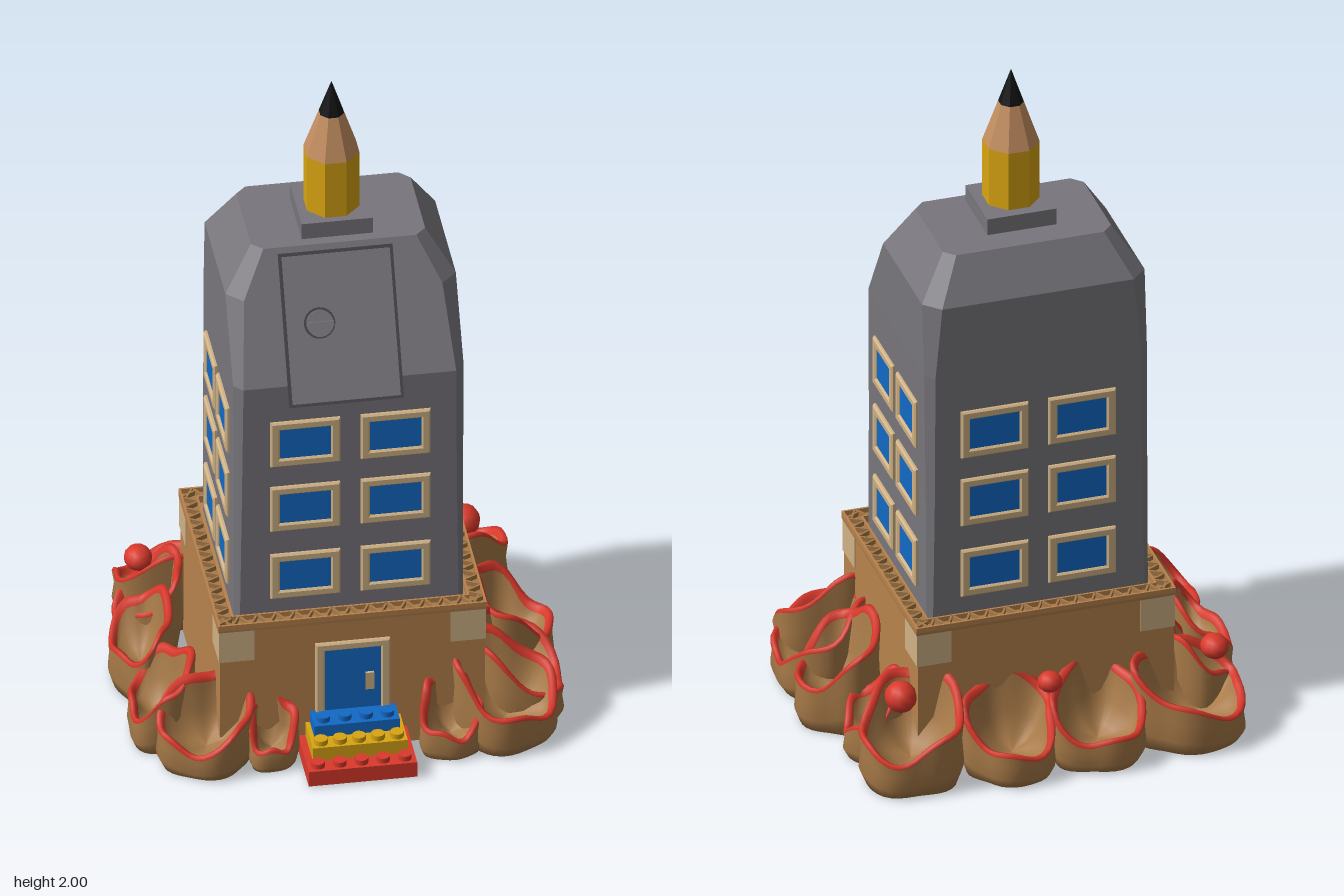
import * as THREE from 'three';

const mat = (name, color, side = THREE.FrontSide) => {
  const m = new THREE.MeshStandardMaterial({ color, side });
  m.name = name;
  return m;
};

export function createModel() {
  const root = new THREE.Group();
  const card = mat('cardboard', 0xb9834d);
  const rock = mat('crumpled brown', 0xa87a48);
  const grey = mat('tower grey', 0x78767c);
  const seam = mat('dark seam', 0x47464b);
  const blue = mat('blue', 0x1269c6);
  const yellow = mat('yellow', 0xd8a412);
  const red = mat('red', 0xd9392b);
  const wood = mat('bare wood', 0xc38e60);
  const black = mat('graphite', 0x131315);
  const pale = mat('pale tan', 0xd0b386);

  const add = (name, geo, material, parent = root, x = 0, y = 0, z = 0) => {
    const m = new THREE.Mesh(geo, material);
    m.name = name;
    m.position.set(x, y, z);
    parent.add(m);
    return m;
  };
  // box given by its min and max corners
  const slab = (name, x0, x1, y0, y1, z0, z1, material, parent = root) =>
    add(name, new THREE.BoxGeometry(x1 - x0, y1 - y0, z1 - z0), material, parent,
      (x0 + x1) / 2, (y0 + y1) / 2, (z0 + z1) / 2);
  const group = (name, parent = root) => {
    const g = new THREE.Group();
    g.name = name;
    parent.add(g);
    return g;
  };
  // skin over a stack of closed rings; slots gives the material of each band
  const loft = (rings, slots) => {
    const n = rings[0].length, index = [];
    const geo = new THREE.BufferGeometry();
    geo.setAttribute('position', new THREE.Float32BufferAttribute(rings.flat(2), 3));
    for (let i = 0; i < rings.length - 1; i++) {
      if (slots) geo.addGroup(index.length, n * 6, slots[i]);
      for (let j = 0; j < n; j++) {
        const a = i * n + j, b = i * n + (j + 1) % n;
        index.push(a, a + n, b, b, a + n, b + n);
      }
    }
    geo.setIndex(index);
    geo.computeVertexNormals();
    return geo;
  };
  const flat = (geo) => {
    const g = geo.index ? geo.toNonIndexed() : geo;
    g.computeVertexNormals();
    return g;
  };

  // Cardboard base with taped corners
  const X0 = -0.38, X1 = 0.365, Z0 = -0.325, Z1 = 0.352;
  slab('base', X0, X1, 0.005, 0.43, Z0, Z1, card);
  for (const x of [X0 + 0.047, X1 - 0.047])
    for (const z of [Z0 + 0.052, Z1 - 0.052])
      add('cornerTape', new THREE.BoxGeometry(0.1, 0.1, 0.11), pale, root, x, 0.378, z);

  // Corrugated trim: two rails per side with a zigzag between them
  const trim = group('corrugatedTrim');
  const cx = (X0 + X1) / 2, cz = (Z0 + Z1) / 2, W = X1 - X0 + 0.01, D = Z1 - Z0 + 0.01;
  for (let s = 0; s < 4; s++) {
    const len = s % 2 ? D : W, off = (s % 2 ? W : D) / 2, side = group('trimSide', trim);
    side.position.set(cx, 0.441, cz);
    side.rotation.y = s * Math.PI / 2;
    add('trimBed', new THREE.BoxGeometry(len, 0.008, 0.046), rock, side, 0, -0.008, off - 0.023);
    add('outerRail', new THREE.BoxGeometry(len, 0.022, 0.006), card, side, 0, 0, off - 0.003);
    add('innerRail', new THREE.BoxGeometry(len - 0.09, 0.022, 0.006), card, side, 0, 0, off - 0.045);
    const count = Math.round(len / 0.026);
    for (let i = 1; i < count; i++) {
      const slat = add('trimSlat', new THREE.BoxGeometry(0.006, 0.02, 0.042), rock, side,
        (i / count - 0.5) * len, 0, off - 0.024);
      slat.rotation.y = i % 2 ? 0.5 : -0.5;
    }
  }

  // Tower: chamfered sections, sloping in at the front and shoulders
  const section = (y, x0, x1, z0, z1, c) => [
    [x1, y, z1 - c], [x1 - c, y, z1], [x0 + c, y, z1], [x0, y, z1 - c],
    [x0, y, z0 + c], [x0 + c, y, z0], [x1 - c, y, z0], [x1, y, z0 + c]];
  add('tower', flat(loft([
    section(0.432, -0.33, 0.315, -0.26, 0.3, 0.015),
    section(0.8, -0.33, 0.315, -0.26, 0.3, 0.02),
    section(1.2, -0.33, 0.318, -0.26, 0.3, 0.025),
    section(1.42, -0.33, 0.318, -0.26, 0.185, 0.045),
    section(1.545, -0.25, 0.24, -0.19, 0.12, 0.03),
    Array(8).fill([-0.005, 1.545, -0.03])])), grey);

  // Sloping hatch with round knob
  const hatch = group('hatch');
  hatch.position.set(-0.02, 1.338, 0.229);
  hatch.rotation.x = -Math.atan2(0.18, 0.345);
  add('hatchSeam', new THREE.BoxGeometry(0.322, 0.432, 0.012), seam, hatch);
  add('hatchPanel', new THREE.BoxGeometry(0.304, 0.414, 0.02), grey, hatch);
  const disc = (name, r, h, m, z) => {
    add(name, new THREE.CylinderGeometry(r, r, h, 20), m, hatch, -0.06, 0.015, z).rotation.x = Math.PI / 2;
  };
  disc('knobSeam', 0.044, 0.006, seam, 0.011);
  disc('knob', 0.038, 0.02, grey, 0.015);
  add('knobGrip', new THREE.BoxGeometry(0.072, 0.013, 0.022), grey, hatch, -0.06, 0.015, 0.034);

  // Framed openings, built facing +z
  const rect = (P, w, h) => {
    const p = new P();
    p.moveTo(-w / 2, -h / 2); p.lineTo(w / 2, -h / 2);
    p.lineTo(w / 2, h / 2); p.lineTo(-w / 2, h / 2);
    p.closePath();
    return p;
  };
  const frameGeo = (w, h, t) => {
    const s = rect(THREE.Shape, w - 0.01, h - 0.01);
    s.holes.push(rect(THREE.Path, w - 2 * t, h - 2 * t));
    return new THREE.ExtrudeGeometry(s, { depth: 0.006, bevelThickness: 0.005, bevelSize: 0.005, bevelSegments: 1 });
  };
  const winFrame = frameGeo(0.196, 0.148, 0.021), winPane = new THREE.BoxGeometry(0.165, 0.115, 0.006);
  const sideFrame = frameGeo(0.178, 0.148, 0.02), sidePane = new THREE.BoxGeometry(0.148, 0.115, 0.006);
  const walls = [
    ['front', 0, 0, 0.3, [-0.132, 0.122], winFrame, winPane],
    ['back', Math.PI, 0, -0.26, [0.132, -0.122], winFrame, winPane],
    ['left', Math.PI / 2, 0.316, 0, [-0.125, 0.085], sideFrame, sidePane],
    ['right', -Math.PI / 2, -0.33, 0, [0.125, -0.085], sideFrame, sidePane]];
  for (const [name, turn, x, z, cols, frame, pane] of walls) {
    const g = group(name + 'Windows');
    g.position.set(x, 0, z);
    g.rotation.y = turn;
    for (const col of cols)
      for (const y of [0.567, 0.793, 1.01]) {
        add('windowFrame', frame, pale, g, col, y, 0);
        add('windowPane', pane, blue, g, col, y, 0.001);
      }
  }

  // Door
  add('doorFrame', frameGeo(0.21, 0.27, 0.021), pale, root, -0.007, 0.228, Z1);
  add('door', new THREE.BoxGeometry(0.175, 0.235, 0.006), blue, root, -0.007, 0.228, Z1 + 0.001);
  slab('doorHandle', 0.028, 0.052, 0.2, 0.255, Z1, Z1 + 0.012, pale);

  // Studded steps
  const stud = new THREE.CylinderGeometry(0.019, 0.019, 0.016, 14);
  const steps = [
    [red, -0.16, 0.145, 0.01, 0.058, 0.535, 0.508, 5],
    [yellow, -0.14, 0.127, 0.058, 0.1, 0.483, 0.458, 5],
    [blue, -0.127, 0.113, 0.1, 0.137, 0.43, 0.4, 4]];
  for (const [m, x0, x1, y0, y1, z1, zs, n] of steps) {
    slab('step', x0, x1, y0, y1, Z1 - 0.01, z1, m);
    for (let i = 0; i < n; i++)
      add('stepStud', stud, m, root, x0 + (x1 - x0) * (i + 0.5) / n, y1 + 0.008, zs);
  }

  // Pencil on its plinth
  slab('plinth', -0.107, 0.094, 1.54, 1.595, -0.11, 0.09, grey);
  const pencil = group('pencil');
  pencil.position.set(-0.008, 0, -0.005);
  const turned = (name, r0, r1, y0, y1, m) =>
    add(name, flat(new THREE.CylinderGeometry(r1, r0, y1 - y0, 8)), m, pencil, 0, (y0 + y1) / 2, 0)
      .rotation.y = Math.PI / 8;
  turned('pencilBody', 0.08, 0.08, 1.595, 1.775, yellow);
  turned('pencilWood', 0.08, 0.036, 1.775, 1.9, wood);
  turned('pencilLead', 0.036, 0.001, 1.9, 2, black);

  // Crumpled scoops around the base: red rims, high by the wall and low outside
  const scoop = (x, z, rx, rz, lo, hi, out, seed) => {
    const N = 36;
    const ring = (scale, inset, height) => Array.from({ length: N }, (_, j) => {
      const t = j / N * Math.PI * 2;
      const w = 1 + 0.06 * Math.sin(3 * t + seed) + 0.035 * Math.sin(5 * t + 2 * seed);
      const h = lo + (hi - lo) * (0.5 - 0.5 * Math.cos(t - out)) + 0.015 * Math.sin(4 * t + seed);
      return [x + Math.cos(t) * (rx * w * scale - inset), height(h), z + Math.sin(t) * (rz * w * scale - inset)];
    });
    const floor = 0.03 + lo * 0.3;
    const rings = [
      ring(0, 0, () => 0.006), ring(0.86, 0, () => 0.006), ring(0.98, 0, (h) => h * 0.3),
      ring(0.94, 0, (h) => h * 0.65), ring(1, 0.003, (h) => h - 0.012),
      ring(1, 0.008, (h) => h), ring(1, 0.02, (h) => h - 0.004), ring(1, 0.027, (h) => h - 0.022),
      ring(0.66, 0, (h) => floor + (h - floor) * 0.4), ring(0.35, 0, (h) => floor + (h - floor) * 0.1),
      ring(0, 0, () => floor)];
    add('crumpledScoop', loft(rings, [0, 0, 0, 0, 1, 1, 1, 0, 0, 0]), [rock, red]);
  };
  const R = Math.PI;
  [
    [-0.41, -0.385, 0.165, 0.125, 0.12, 0.27, -R * 0.7, 1],
    [-0.13, -0.41, 0.14, 0.12, 0.1, 0.27, -R / 2, 2.2],
    [0.12, -0.41, 0.135, 0.12, 0.1, 0.27, -R / 2, 0.6],
    [0.4, -0.37, 0.15, 0.14, 0.13, 0.29, -R * 0.3, 3],
    [0.45, -0.2, 0.095, 0.1, 0.1, 0.24, 0, 4],
    [0.49, 0.02, 0.12, 0.14, 0.14, 0.32, 0, 1.7],
    [0.48, 0.22, 0.135, 0.15, 0.1, 0.28, R * 0.1, 5],
    [0.42, 0.36, 0.15, 0.12, 0.11, 0.3, R * 0.3, 2.6],
    [0.26, 0.4, 0.09, 0.08, 0.08, 0.24, R / 2, 0.2],
    [-0.24, 0.385, 0.075, 0.07, 0.07, 0.23, R / 2, 1.3],
    [-0.42, 0.36, 0.14, 0.105, 0.1, 0.26, R * 0.65, 3.6],
    [-0.525, 0.2, 0.095, 0.13, 0.11, 0.27, R, 0.9],
    [-0.535, -0.06, 0.09, 0.15, 0.13, 0.27, R, 2.9],
    [-0.48, -0.25, 0.1, 0.12, 0.12, 0.28, R, 4.4],
  ].forEach((s) => scoop(...s));

  // Red lumps caught in the folds
  const lump = (x, y, z, sx, sy, sz) =>
    add('redLump', new THREE.SphereGeometry(1, 12, 8), red, root, x, y, z).scale.set(sx, sy, sz);
  lump(0.42, 0.25, -0.34, 0.045, 0.045, 0.05);
  lump(-0.005, 0.24, -0.37, 0.035, 0.03, 0.035);
  lump(-0.5, 0.24, -0.32, 0.04, 0.035, 0.045);

  return root;
}
